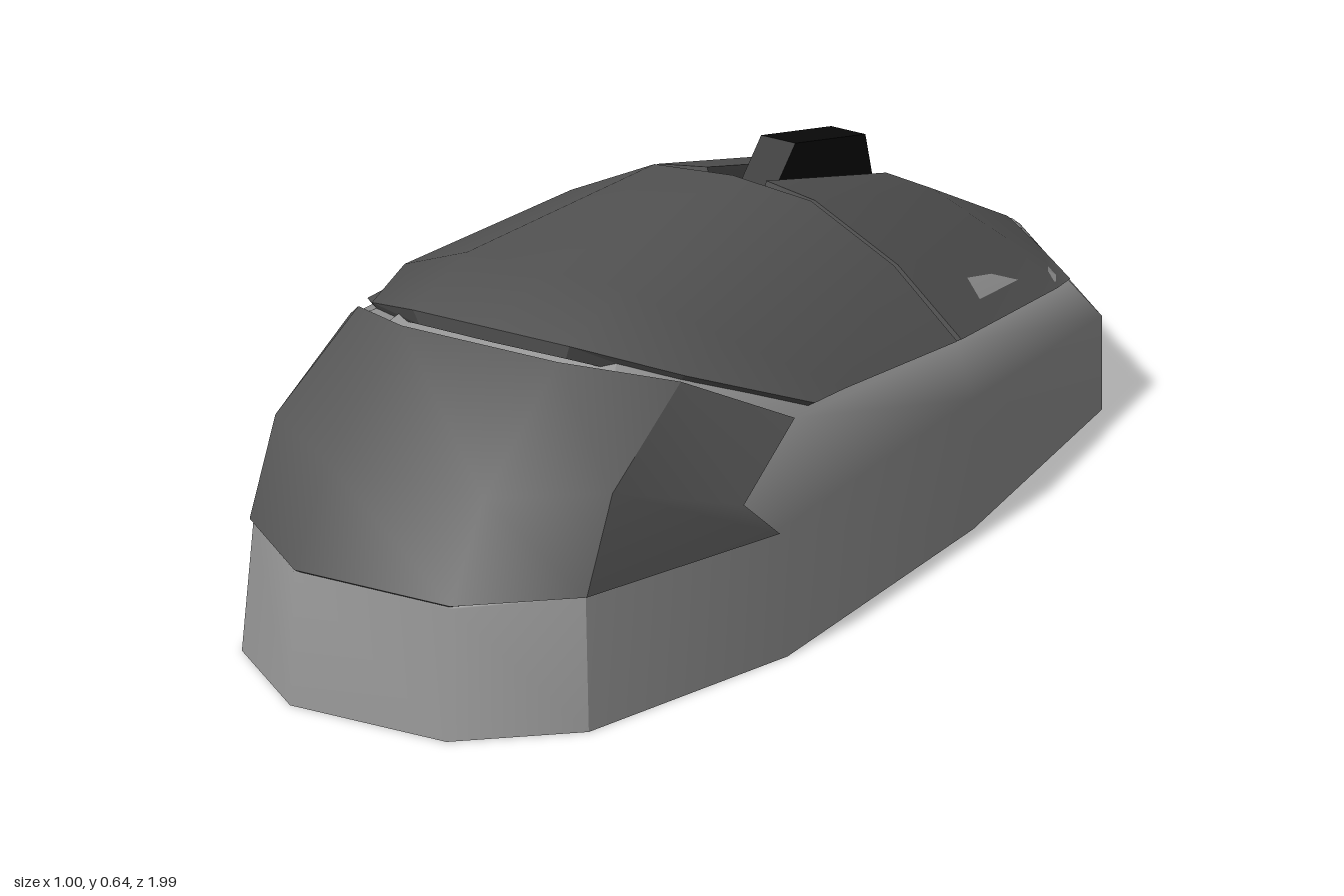
import * as THREE from 'three';
import { mergeGeometries } from 'three/addons/utils/BufferGeometryUtils.js';

const shellMat = new THREE.MeshStandardMaterial({ color: 0x999999 });
const panelMat = new THREE.MeshStandardMaterial({ color: 0x555555 });
const wheelMat = new THREE.MeshStandardMaterial({ color: 0x0a0a0a });

const flip = ([x, y, z]) => [-x, y, z];
// mirrored copy of a grid of points, columns reversed to keep the winding
const mirror = rows => rows.map(r => r.map(flip).reverse());
// half row (centre outwards) to a full row, left to right
const full = half => [...half.map(flip).reverse(), ...half];

// smooth surface through rows of points
function surface(rows) {
  const n = rows[0].length, index = [];
  for (let r = 0; r < rows.length - 1; r++)
    for (let c = 0; c < n - 1; c++) {
      const a = r * n + c, d = a + n;
      index.push(a, a + 1, d, a + 1, d + 1, d);
    }
  const g = new THREE.BufferGeometry();
  g.setAttribute('position', new THREE.Float32BufferAttribute(rows.flat(2), 3));
  g.setIndex(index);
  g.computeVertexNormals();
  return g.toNonIndexed();
}

// surface with a rim turned in around its border
function plate(rows, depth = 0.03) {
  const last = rows.length - 1, n = rows[0].length;
  const loop = [
    ...rows[0],
    ...rows.slice(1, last).map(r => r[n - 1]),
    ...[...rows[last]].reverse(),
    ...rows.slice(1, last).map(r => r[0]).reverse(),
  ];
  const sink = p => {
    const v = new THREE.Vector3(...p);
    const aim = new THREE.Vector3(0, 0.15, p[2] * 0.85).sub(v).setLength(depth);
    return v.add(aim).toArray();
  };
  const pos = loop.flatMap((p, i) => {
    const q = loop[(i + 1) % loop.length], pi = sink(p), qi = sink(q);
    return [p, pi, qi, p, qi, q].flat();
  });
  const rim = new THREE.BufferGeometry();
  rim.setAttribute('position', new THREE.Float32BufferAttribute(pos, 3));
  rim.computeVertexNormals();
  return mergeGeometries([surface(rows), rim]);
}

function add(group, name, geometry, material) {
  const mesh = new THREE.Mesh(geometry, material);
  mesh.name = name;
  group.add(mesh);
  return mesh;
}

export function createModel() {
  const model = new THREE.Group();
  model.name = 'computerMouse';
  const body = new THREE.Group();
  body.name = 'body';
  body.position.x = 0.01;
  model.add(body);

  // shell: half rings from the base to the roof, each running front to back
  const rings = [
    [[.16, 0, 1], [.355, 0, .835], [.49, 0, .37], [.49, 0, -.28], [.42, 0, -.85], [.17, 0, -.99]],
    [[.16, .25, .985], [.34, .25, .82], [.485, .25, .37], [.49, .25, -.28], [.42, .18, -.85], [.17, .25, -.99]],
    [[.16, .25, .97], [.33, .25, .81], [.455, .415, .27], [.455, .35, -.28], [.39, .262, -.79], [.16, .262, -.98]],
    [[.16, .41, .855], [.33, .41, .715], [.32, .515, .44], [.33, .455, -.28], [.27, .325, -.74], [.12, .315, -.86]],
    [[.16, .572, .6], [.235, .545, .54], [.16, .62, .38], [.16, .545, -.28], [.13, .4, -.7], [.05, .405, -.71]],
  ];
  const side = rings.map(r => r.slice(1, 5));
  const front = rings.map(r => full(r.slice(0, 2)));
  const back = rings.map(r => [r[4], r[5], flip(r[5]), flip(r[4])]);
  const roof = rings[4].map(p => [flip(p), p]);
  const base = rings[0].map(p => [p, flip(p)]);
  add(body, 'shell', mergeGeometries([side, mirror(side), front, back, roof, base].map(surface)), shellMat);

  // palm cover: rows front to back
  const palm = [
    [[0, .6, .57], [.16, .6, .57], [.32, .53, .44], [.458, .425, .22]],
    [[0, .64, .38], [.16, .64, .38], [.335, .548, .3], [.46, .415, .12]],
    [[0, .576, -.275], [.16, .562, -.275], [.33, .475, -.275], [.46, .357, -.275]],
  ].map(h => full(h).filter((p, i) => i !== 3)); // drop the doubled centre point
  add(body, 'palmCover', plate(palm), panelMat);

  // front cover: nose and two notched wings, rows bottom to top
  const nose = [
    [[.16, .255, .985], [.345, .253, .825]],
    [[.16, .42, .87], [.345, .42, .735]],
    [[.16, .585, .61], [.33, .532, .47]],
  ].map(full);
  add(body, 'frontCover', plate(nose), panelMat);
  const wing = [
    [[.345, .253, .825], [.486, .243, .39]],
    [[.345, .42, .735], [.456, .32, .465]],
    [[.33, .532, .47], [.455, .42, .285]],
  ];
  add(body, 'leftFrontWing', plate(wing), panelMat);
  add(body, 'rightFrontWing', plate(mirror(wing)), panelMat);

  // click buttons on both sides of the wheel strip
  const button = [
    [[.06, .573, -.29], [.16, .557, -.29], [.33, .47, -.29], [.46, .355, -.29]],
    [[.06, .43, -.71], [.15, .415, -.72], [.29, .342, -.74], [.405, .28, -.72]],
    [[.06, .272, -.985], [.16, .272, -.965], [.27, .27, -.885], [.39, .268, -.79]],
  ];
  add(body, 'leftClickButton', plate(button), panelMat);
  add(body, 'rightClickButton', plate(mirror(button)), panelMat);

  // thumb buttons, on one side only
  const thumbs = [
    [[[.512, .25, .05], [.515, .25, -.27]], [[.482, .31, .06], [.472, .345, -.28]]],
    [[[.512, .25, -.3], [.487, .21, -.57]], [[.47, .34, -.3], [.46, .29, -.6]]],
  ];
  thumbs.forEach((t, i) => add(body, 'thumbButton' + (i + 1), plate(mirror(t), 0.05), panelMat));

  // scroll wheel block
  const profile = new THREE.Shape([[-.36, .52], [-.435, .585], [-.68, .51], [-.705, .42], [-.6, .4]]
    .map(([z, y]) => new THREE.Vector2(-z, y)));
  const wheelGeo = new THREE.ExtrudeGeometry(profile, { depth: 0.07, bevelEnabled: false });
  wheelGeo.translate(0, 0, -0.035).rotateY(Math.PI / 2);
  add(body, 'scrollWheel', wheelGeo, wheelMat);

  return model;
}
